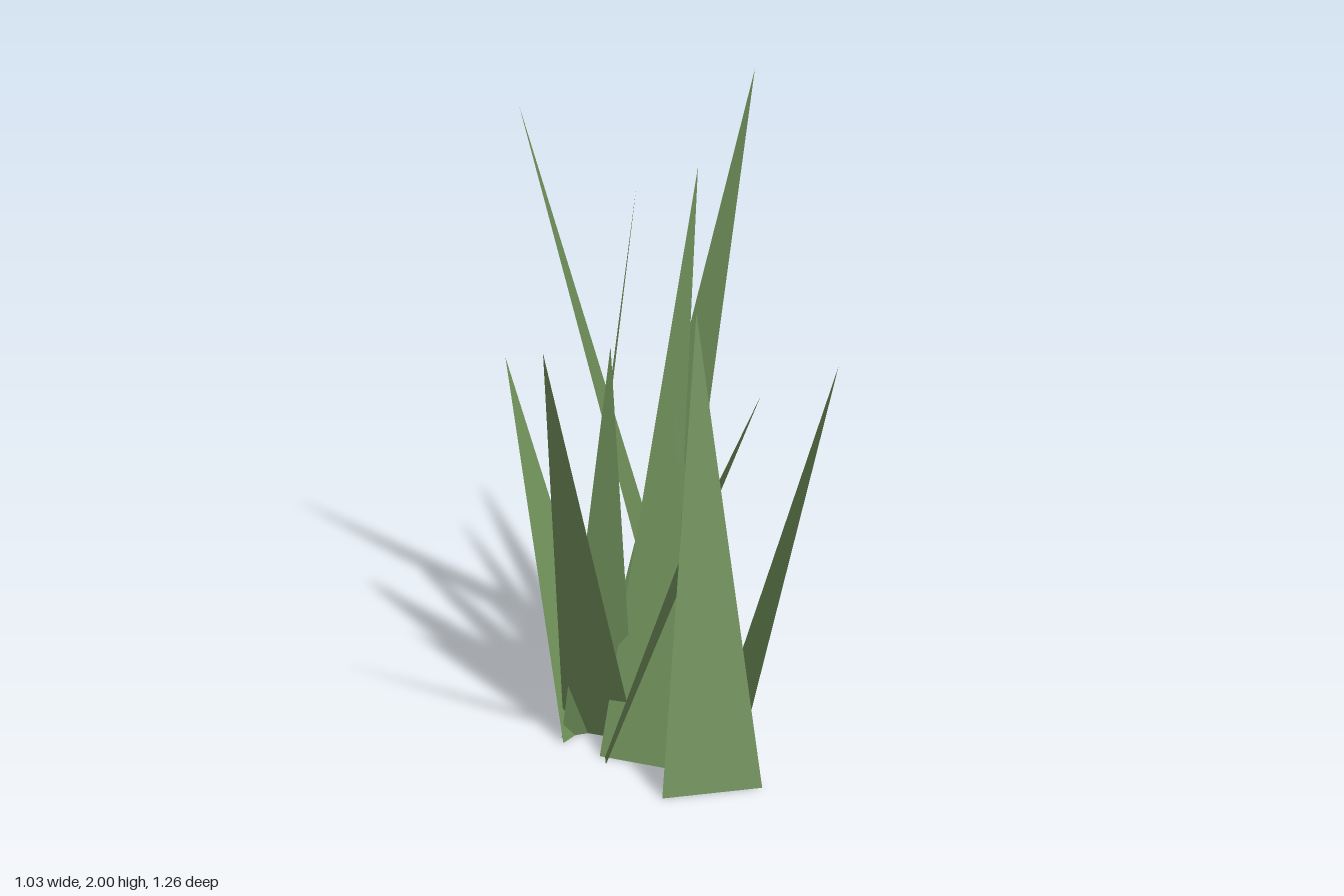
import * as THREE from 'three';

// Each blade: root corner [x, z], root corner [x, z], tip [x, y, z]
const BLADES = [
  [[-0.04, -0.41], [0.03, -0.21], [-0.515, 1.92, -0.135]],
  [[-0.32, -0.13], [-0.195, 0.10], [-0.055, 1.76, -0.09]],
  [[0.00, 0.185], [0.22, 0.125], [-0.045, 1.745, -0.40]],
  [[-0.125, 0.08], [0.16, 0.08], [0.003, 2.0, -0.633]],
  [[-0.19, 0.115], [0.04, 0.045], [0.14, 1.52, 0.63]],
  [[0.30, 0.28], [0.513, 0.055], [0.20, 1.445, -0.03]],
  [[-0.12, 0.01], [0.045, 0.215], [0.372, 1.195, -0.115]],
  [[0.19, -0.185], [0.357, -0.06], [0.47, 1.22, -0.393]],
  [[0.302, -0.12], [0.355, 0.15], [0.168, 1.17, 0.035]],
  [[-0.13, -0.088], [-0.14, 0.185], [-0.482, 1.16, 0.0]],
  [[-0.165, 0.16], [-0.02, -0.03], [0.12, 1.425, 0.287]],
];

// One flat, tapering blade rooted on the ground
function bladeGeometry([a, b, tip]) {
  const geometry = new THREE.BufferGeometry();
  const corners = [a[0], 0, a[1], b[0], 0, b[1], ...tip];
  geometry.setAttribute('position', new THREE.Float32BufferAttribute(corners, 3));
  geometry.computeVertexNormals();
  return geometry;
}

export function createModel() {
  const group = new THREE.Group();
  group.name = 'grassTuft';

  const grassGreen = new THREE.MeshStandardMaterial({ color: 0x6f8f59, side: THREE.DoubleSide });
  grassGreen.name = 'grassGreen';

  BLADES.forEach((blade, i) => {
    const mesh = new THREE.Mesh(bladeGeometry(blade), grassGreen);
    mesh.name = `grassBlade${i + 1}`;
    group.add(mesh);
  });
  return group;
}
